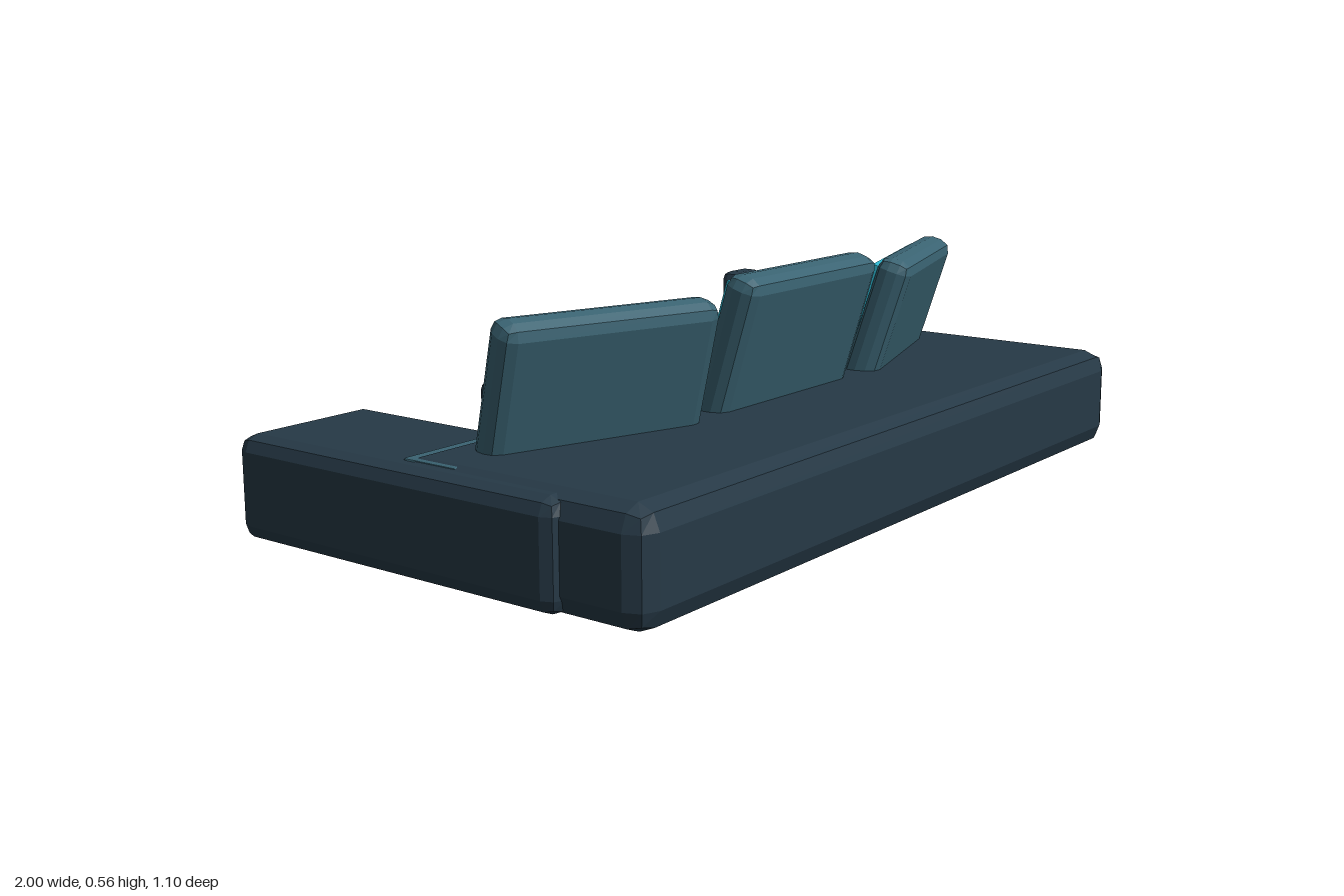
import * as THREE from 'three';
import { RoundedBoxGeometry } from 'three/addons/geometries/RoundedBoxGeometry.js';

const material = (name, color) => {
  const m = new THREE.MeshStandardMaterial({ color });
  m.name = name;
  return m;
};

export function createModel() {
  const navy = material('dark navy', 0x263946);
  const teal = material('slate teal', 0x3a6372);
  const cyan = material('screen cyan', 0x2cb2cb);
  const model = new THREE.Group();
  model.name = 'controlConsole';

  const add = (parent, name, geometry, mat, x, y, z) => {
    const mesh = new THREE.Mesh(geometry, mat);
    mesh.name = name;
    mesh.position.set(x, y, z);
    parent.add(mesh);
    return mesh;
  };

  // Box with a faceted two-step bevel
  const bevelBox = (w, h, d, r) => {
    const g = new RoundedBoxGeometry(w, h, d, 1, r);
    g.computeVertexNormals();
    return g;
  };

  // Faceted round part
  const facetedCylinder = (rTop, rBottom, h, sides) => {
    const g = new THREE.CylinderGeometry(rTop, rBottom, h, sides).toNonIndexed();
    g.computeVertexNormals();
    return g;
  };

  // Desk body and the trim slab showing along its bevelled back edge
  add(model, 'desk', bevelBox(1.956, 0.247, 0.658, 0.05), navy, 0, 0.1265, 0.219);
  add(model, 'deskTrim', bevelBox(1.89, 0.06, 0.15, 0.008), teal, 0, 0.2175, -0.021);

  // Side wings
  for (const side of [-1, 1]) {
    add(model, side > 0 ? 'leftWing' : 'rightWing',
      bevelBox(0.366, 0.232, 0.902, 0.035), navy, side * 0.817, 0.126, -0.097);
  }

  // Three leaning monitors, the outer two turned inwards
  const monitors = [
    ['rightMonitor', -0.597, 0.365, 0.124, -0.316],
    ['centerMonitor', 0, 0.395, 0.19, 0],
    ['leftMonitor', 0.597, 0.365, 0.124, 0.316],
  ];
  for (const [name, x, y, z, yaw] of monitors) {
    const monitor = new THREE.Group();
    monitor.name = name;
    monitor.position.set(x, y, z);
    monitor.rotation.set(0.3, yaw, 0, 'YXZ');
    add(monitor, 'monitorCase', bevelBox(0.52, 0.38, 0.085, 0.03), teal, 0, -0.02, 0);
    add(monitor, 'monitorScreen', new THREE.BoxGeometry(0.437, 0.3, 0.018), cyan, 0, -0.015, -0.05);
    model.add(monitor);
  }

  // Upright control stick on a round base
  const stick = new THREE.Group();
  stick.name = 'controlStick';
  stick.position.set(0.315, 0, -0.169);
  add(stick, 'stickBase', facetedCylinder(0.095, 0.095, 0.04, 10), navy, 0, 0.09, 0);
  add(stick, 'stickBaseRim', facetedCylinder(0.078, 0.095, 0.018, 10), navy, 0, 0.119, 0);
  add(stick, 'stickStem', facetedCylinder(0.022, 0.022, 0.24, 10), teal, 0, 0.24, 0);
  add(stick, 'stickHead', bevelBox(0.097, 0.145, 0.072, 0.02), navy, 0, 0.4025, 0);
  add(stick, 'stickDisplay', new THREE.BoxGeometry(0.055, 0.075, 0.014), cyan, 0, 0.409, 0.039);
  model.add(stick);

  // Slanted throttle lever on a low shelf
  const throttle = new THREE.Group();
  throttle.name = 'throttle';
  throttle.position.set(-0.58, 0, 0);
  add(throttle, 'throttleShelf', bevelBox(0.24, 0.07, 0.4, 0.015), navy, 0.015, 0.078, -0.265);
  const foot = new THREE.Vector3(0, 0.095, -0.265);
  const grip = new THREE.Vector3(0, 0.31, -0.112);
  const dir = grip.clone().sub(foot);
  const lever = add(throttle, 'throttleLever', facetedCylinder(0.019, 0.019, dir.length(), 8), teal,
    0, (foot.y + grip.y) / 2, (foot.z + grip.z) / 2);
  lever.quaternion.setFromUnitVectors(new THREE.Vector3(0, 1, 0), dir.normalize());
  add(throttle, 'throttleGrip', bevelBox(0.176, 0.071, 0.082, 0.016), navy, 0, 0.3125, -0.112);
  model.add(throttle);

  return model;
}
